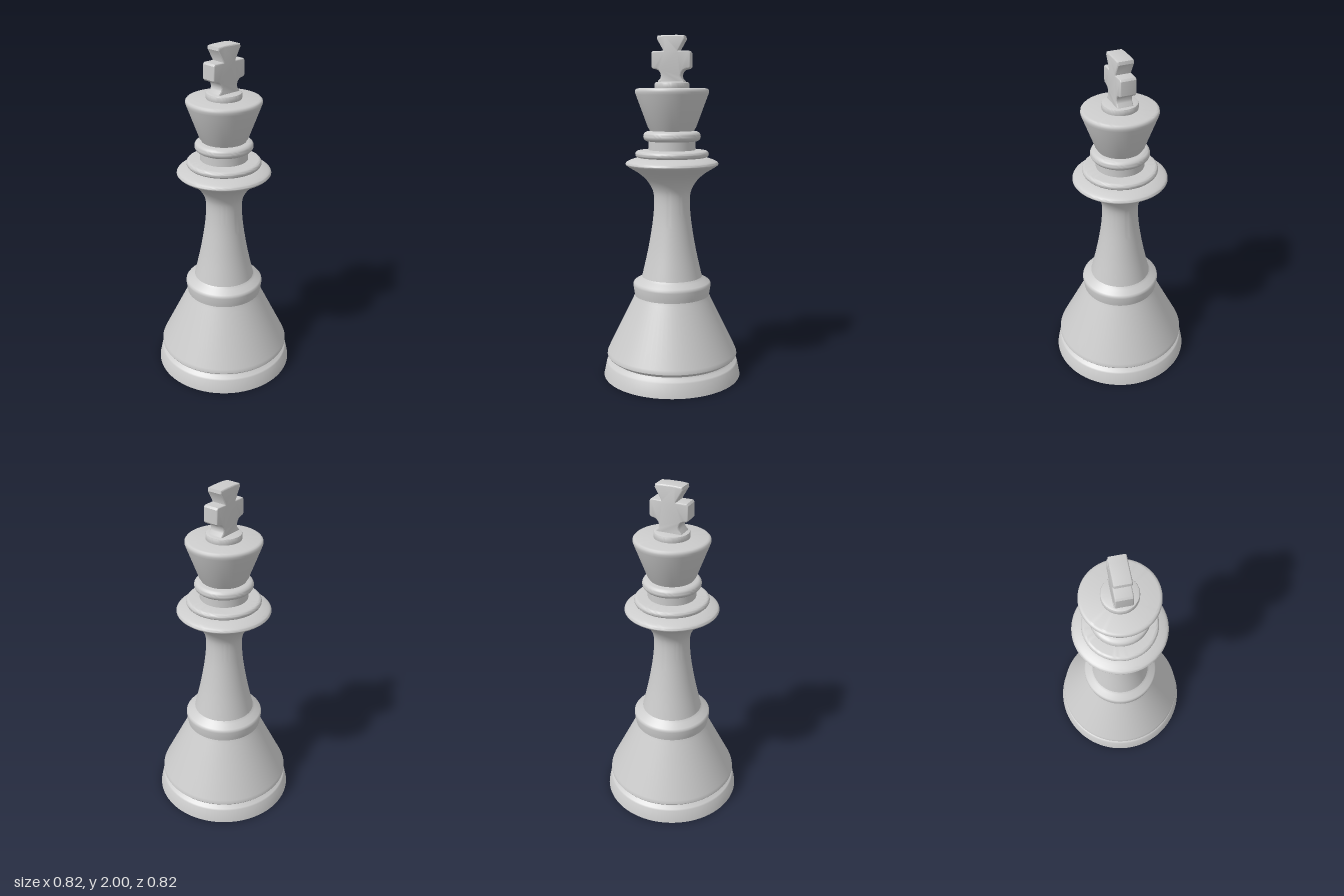
import * as THREE from 'three';
import { toCreasedNormals } from 'three/addons/utils/BufferGeometryUtils.js';

const material = new THREE.MeshStandardMaterial({ color: 0xcccccc, side: THREE.DoubleSide });
const SEGMENTS = 72;

// Turned part from [radius, height] pairs, listed from bottom to top
function turned(name, profile) {
  const points = profile.map(([r, y]) => new THREE.Vector2(r, y));
  const mesh = new THREE.Mesh(toCreasedNormals(new THREE.LatheGeometry(points, SEGMENTS), 0.7), material);
  mesh.name = name;
  return mesh;
}

// Smooth run of profile points through a few control points
function smooth(controls, count) {
  const curve = new THREE.SplineCurve(controls.map(([r, y]) => new THREE.Vector2(r, y)));
  return curve.getPoints(count).map((p) => [p.x, p.y]);
}

// Half-round bead between two heights, reaching out to radius r
function bead(r, y0, y1, steps = 10) {
  const h = (y1 - y0) / 2;
  return Array.from({ length: steps + 1 }, (_, i) => {
    const a = -Math.PI / 2 + (Math.PI * i) / steps;
    return [r - h + h * Math.cos(a), y0 + h + h * Math.sin(a)];
  });
}

// Flared cross, mirrored about x = 0
function cross() {
  const half = [
    [0.073, 1.725], [0.068, 1.742], [0.054, 1.757], [0.05, 1.775], [0.055, 1.795], [0.068, 1.811],
    [0.085, 1.818], [0.1, 1.82], [0.105, 1.826], [0.105, 1.9], [0.1, 1.906], [0.037, 1.906],
    [0.037, 1.918], [0.073, 1.98], [0.071, 1.99], [0.035, 1.993],
  ];
  const outline = [...half, ...half.map(([x, y]) => [-x, y]).reverse()];
  const shape = new THREE.Shape(outline.map(([x, y]) => new THREE.Vector2(x, y)));
  const bevel = 0.007;
  const depth = 0.092 - 2 * bevel;
  const geometry = new THREE.ExtrudeGeometry(shape, {
    depth, bevelEnabled: true, bevelSize: bevel, bevelThickness: bevel, bevelSegments: 3,
  });
  geometry.translate(0, 0, -depth / 2);
  const mesh = new THREE.Mesh(toCreasedNormals(geometry, 0.6), material);
  mesh.name = 'cross';
  return mesh;
}

export function createModel() {
  const group = new THREE.Group();
  group.name = 'chessKing';
  group.add(
    // Hollow foot, open underneath, with a groove above it
    turned('foot', [[0.411, 0], [0.394, 0.08], [0.388, 0.088], [0.366, 0.097], [0.361, 0.106], [0.367, 0.115], [0.385, 0.123]]),
    // Conical skirt
    turned('skirt', [[0.385, 0.123], [0.39, 0.13], [0.389, 0.14], [0.384, 0.153], [0.23, 0.47], [0.222, 0.49]]),
    // Collar on top of the skirt
    turned('lowerCollar', [[0.222, 0.49], [0.224, 0.503], [0.231, 0.55], [0.23, 0.562], [0.223, 0.571], [0.19, 0.589], [0.178, 0.602]]),
    // Waisted stem flaring into a wide thin-edged plate
    turned('stem', [
      ...smooth([[0.178, 0.602], [0.143, 0.757], [0.118, 0.9], [0.107, 1.0], [0.106, 1.08], [0.119, 1.13],
        [0.152, 1.18], [0.198, 1.22], [0.252, 1.253]], 36),
      ...smooth([[0.252, 1.253], [0.268, 1.265], [0.27, 1.273], [0.262, 1.284], [0.235, 1.296], [0.19, 1.308], [0.1, 1.31]], 16),
    ]),
    // Bead, neck and second bead
    turned('upperCollar', [[0.1, 1.307], ...bead(0.214, 1.309, 1.348), [0.137, 1.352]]),
    turned('neck', [[0.137, 1.345], [0.137, 1.405]]),
    turned('neckRing', [[0.13, 1.4], ...bead(0.167, 1.402, 1.459), [0.128, 1.462]]),
    // Flared head with rounded rim
    turned('head', [[0.125, 1.455], [0.13, 1.468], [0.139, 1.48], [0.208, 1.667], [0.213, 1.682], [0.212, 1.694],
      [0.206, 1.701], [0.196, 1.704], [0, 1.704]]),
    // Small button carrying the cross
    turned('button', [[0.098, 1.7], [0.1, 1.708], [0.1, 1.73], [0.097, 1.736], [0.085, 1.74], [0, 1.74]]),
    cross(),
  );
  return group;
}
